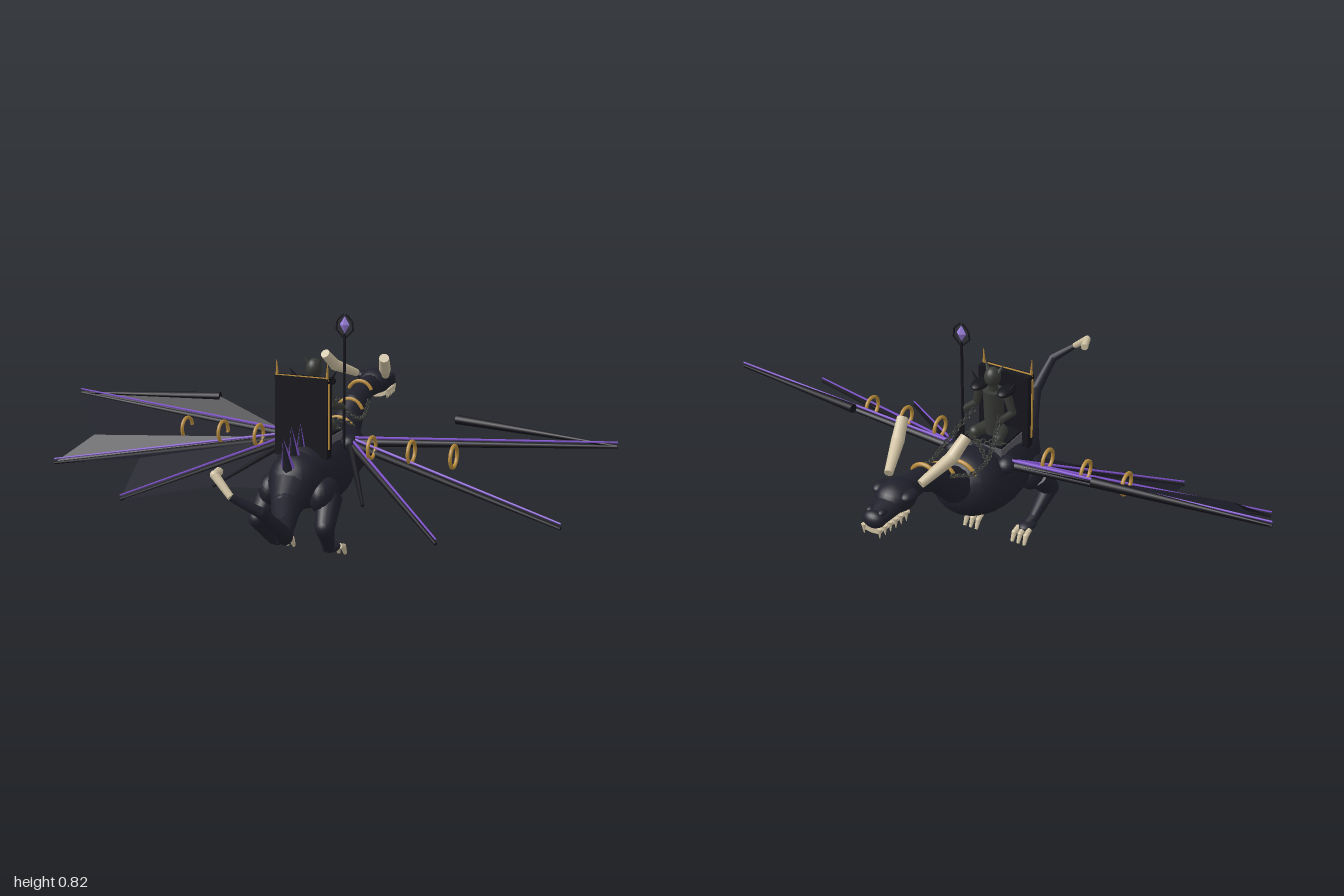
import * as THREE from 'three';

const mat = (name, color, side = THREE.FrontSide) => {
  const m = new THREE.MeshStandardMaterial({ color, side });
  m.name = name;
  return m;
};
const V = (p) => new THREE.Vector3(...p);

export function createModel() {
  const hide = mat('dark hide', 0x20202c);
  const black = mat('black iron', 0x15151c);
  const skin = mat('wing membrane', 0x1c1c27, THREE.DoubleSide);
  const purple = mat('violet glow', 0x8053cc);
  const gem = mat('crystal lavender', 0x9c80dc);
  const bone = mat('bone', 0xcfc1a2);
  const gold = mat('gold', 0xb98c3c);
  const grey = mat('saddle grey', 0x5a5b61);
  const armour = mat('rider armour', 0x383a36);

  const root = new THREE.Group();
  root.name = 'winged mount with rider';
  const add = (name, geo, m, p = [0, 0, 0]) => {
    const mesh = new THREE.Mesh(geo, m);
    mesh.name = name;
    mesh.position.set(...p);
    root.add(mesh);
    return mesh;
  };
  // tapered rod between two points
  const rod = (name, a, b, r0, r1, m, sides = 10) => {
    const d = V(b).sub(V(a));
    const mesh = add(name, new THREE.CylinderGeometry(r1, r0, d.length(), sides), m,
      V(a).add(V(b)).multiplyScalar(0.5).toArray());
    mesh.quaternion.setFromUnitVectors(new THREE.Vector3(0, 1, 0), d.normalize());
    return mesh;
  };
  const ball = (name, p, s, m) => {
    const mesh = add(name, new THREE.SphereGeometry(1, 20, 14), m, p);
    mesh.scale.set(...s);
    return mesh;
  };
  // chain of tapered rods with round joints; each point is [x, y, z, radius]
  const limb = (name, pts, m, sides = 12) => {
    for (let i = 0; i < pts.length - 1; i++) {
      const [a, b] = [pts[i], pts[i + 1]];
      rod(name, a.slice(0, 3), b.slice(0, 3), a[3], b[3], m, sides);
      if (i > 0) ball(name + 'Joint', a.slice(0, 3), [a[3], a[3], a[3]], m);
    }
  };

  // body
  ball('belly', [0, 0.29, -0.05], [0.122, 0.13, 0.22], hide);
  ball('chest', [0, 0.32, -0.185], [0.128, 0.115, 0.115], hide);
  ball('rump', [0, 0.285, 0.09], [0.1, 0.1, 0.11], hide);

  // neck, head and jaw
  limb('neck', [[0, 0.355, -0.275, 0.062], [0, 0.445, -0.385, 0.046],
    [0, 0.485, -0.48, 0.038], [0, 0.49, -0.58, 0.042]], hide);
  ball('skull', [0, 0.497, -0.595], [0.062, 0.048, 0.07], hide);
  const snout = rod('snout', [0, 0.495, -0.59], [0, 0.48, -0.715], 0.055, 0.036, hide, 12);
  snout.scale.z = 0.7;
  ball('snoutTip', [0, 0.48, -0.71], [0.038, 0.028, 0.027], hide);
  const jaw = rod('jaw', [0, 0.45, -0.59], [0, 0.449, -0.725], 0.046, 0.032, bone, 10);
  jaw.scale.z = 0.3;
  for (const s of [-1, 1]) {
    ball('brow', [s * 0.05, 0.515, -0.6], [0.024, 0.017, 0.034], hide);
    ball('nostril', [s * 0.02, 0.5, -0.695], [0.013, 0.01, 0.018], hide);
    for (let i = 0; i < 6; i++) {
      const z = -0.61 - i * 0.023, x = s * (0.043 - i * 0.003);
      rod('tooth', [x, 0.462, z], [x, 0.428, z], 0.008, 0.001, bone, 6);
    }
    limb('horn', [[s * 0.058, 0.53, -0.55, 0.014], [s * 0.098, 0.575, -0.44, 0.021],
      [s * 0.115, 0.625, -0.385, 0.018]], bone);
  }

  // tail with a bone hook
  limb('tail', [[0, 0.27, 0.14, 0.078], [0.025, 0.235, 0.24, 0.05], [0.07, 0.208, 0.35, 0.035],
    [0.11, 0.205, 0.43, 0.028], [0.165, 0.265, 0.56, 0.023], [0.155, 0.355, 0.675, 0.017],
    [0.085, 0.405, 0.722, 0.011]], hide);
  limb('tailHook', [[0.085, 0.405, 0.722, 0.011], [0.022, 0.458, 0.7, 0.014],
    [0.005, 0.452, 0.645, 0.014]], bone, 8);

  // hind legs and claws
  for (const s of [-1, 1]) {
    ball('hip', [s * 0.092, 0.24, 0.085], [0.048, 0.062, 0.072], hide);
    limb('leg', [[s * 0.105, 0.235, 0.08, 0.046], [s * 0.122, 0.15, 0.15, 0.033],
      [s * 0.103, 0.06, 0.075, 0.02], [s * 0.096, 0.045, 0.025, 0.015]], hide);
    ball('foot', [s * 0.097, 0.047, 0.04], [0.03, 0.016, 0.042], hide);
    for (let i = -1; i <= 1; i++) {
      const x = s * 0.097 + i * 0.021;
      limb('claw', [[x, 0.045, 0.015, 0.01], [x + i * 0.002, 0.036, -0.012, 0.01],
        [x + i * 0.003, 0.006, -0.028, 0.006]], bone, 8);
    }
  }

  // wing bones with violet veins, tip struts and gold hoops
  const tips = [[1, 0.453, -0.12], [0.905, 0.268, 0.2], [0.558, 0.207, 0.315], [0.27, 0.255, 0.188]];
  for (const s of [-1, 1]) {
    const shoulder = [s * 0.1, 0.375, -0.11];
    ball('shoulder', shoulder, [0.035, 0.03, 0.04], hide);
    tips.forEach(([x, y, z], i) => {
      rod('wingBone', shoulder, [s * x, y, z], 0.014, 0.005, black, 8);
      if (i < 3) {
        rod('wingVein', [s * 0.1, 0.394, -0.11], [s * x, y + 0.015, z], 0.005, 0.003, purple, 6);
      }
    });
    rod('wingStrut', [s * 0.45, 0.472, -0.2], [s * 1, 0.455, -0.12], 0.016, 0.004, black, 10);
    for (const x of [0.21, 0.35, 0.495]) {
      add('wingHoop', new THREE.TorusGeometry(0.036, 0.0065, 8, 28), gold, [s * x, 0.387, -0.035])
        .rotation.y = Math.PI / 2;
    }
  }

  // the one surviving membrane, fanned from the shoulder
  const rim = [[-0.45, 0.472, -0.2], [-1, 0.453, -0.12], [-0.81, 0.355, 0.085], [-0.905, 0.268, 0.2],
    [-0.6, 0.3, 0.12], [-0.558, 0.207, 0.315], [-0.27, 0.255, 0.188], [-0.08, 0.26, 0.15]];
  const fan = [];
  for (let i = 0; i < rim.length - 1; i++) fan.push(-0.1, 0.375, -0.11, ...rim[i], ...rim[i + 1]);
  const web = new THREE.BufferGeometry();
  web.setAttribute('position', new THREE.Float32BufferAttribute(fan, 3));
  web.computeVertexNormals();
  add('wingMembrane', web, skin);

  // back spikes with violet edges
  [[0.065, 0.47, 0.075], [0.11, 0.475, 0.145], [0.165, 0.448, 0.205]].forEach(([z, y, tz]) => {
    rod('backSpike', [0, 0.33, z], [0, y, tz], 0.022, 0.001, hide, 6);
    for (const s of [-1, 1]) {
      rod('spikeEdge', [s * 0.022, 0.33, z], [0, y, tz], 0.006, 0.001, purple, 6);
    }
  });

  // gold collar arcs over the neck: centre height, z, radius, half angle
  [[0.36, -0.245, 0.068, 1.3], [0.424, -0.348, 0.05, 1.25], [0.475, -0.445, 0.047, 1.2]]
    .forEach(([y, z, r, a]) => {
      add('neckCollar', new THREE.TorusGeometry(r, 0.007, 8, 24, a * 2), gold, [0, y, z])
        .rotation.z = Math.PI / 2 - a;
    });

  // saddle and throne
  add('saddle', new THREE.BoxGeometry(0.15, 0.05, 0.135), grey, [0, 0.393, -0.036]);
  add('saddleBase', new THREE.BoxGeometry(0.17, 0.03, 0.15), black, [0, 0.362, -0.03]);
  add('seat', new THREE.BoxGeometry(0.145, 0.008, 0.13), black, [0, 0.422, -0.034]);
  add('throneBack', new THREE.BoxGeometry(0.19, 0.27, 0.038), black, [0, 0.492, 0.052]);
  add('throneTopTrim', new THREE.BoxGeometry(0.18, 0.003, 0.006), gold, [0, 0.628, 0.06]);
  for (const s of [-1, 1]) {
    add('throneTrim', new THREE.BoxGeometry(0.004, 0.22, 0.009), gold, [s * 0.096, 0.5, 0.06]);
    rod('throneSpike', [s * 0.09, 0.62, 0.062], [s * 0.092, 0.68, 0.062], 0.006, 0.001, gold, 6);
  }

  // armoured rider facing -z
  rod('riderTorso', [0, 0.43, -0.025], [0, 0.59, -0.03], 0.032, 0.036, armour, 10);
  ball('riderHead', [0, 0.64, -0.035], [0.027, 0.034, 0.03], armour);
  rod('riderNeck', [0, 0.58, -0.03], [0, 0.62, -0.033], 0.016, 0.016, armour);
  for (const s of [-1, 1]) {
    rod('helmetHorn', [s * 0.018, 0.655, -0.03], [s * 0.034, 0.685, -0.02], 0.009, 0.001, armour, 6);
    ball('shoulderPlate', [s * 0.05, 0.598, -0.03], [0.026, 0.014, 0.045], black);
    rod('shoulderSpike', [s * 0.06, 0.6, -0.03], [s * 0.085, 0.635, -0.025], 0.008, 0.001, black, 6);
    limb('riderLeg', [[s * 0.025, 0.44, -0.02, 0.024], [s * 0.045, 0.44, -0.075, 0.02],
      [s * 0.055, 0.38, -0.095, 0.015]], armour, 8);
    ball('boot', [s * 0.057, 0.38, -0.105], [0.015, 0.013, 0.025], armour);
    limb('riderArm', [[s * 0.052, 0.585, -0.03, 0.015], [s * 0.07, 0.52, -0.025, 0.013],
      [s > 0 ? 0.092 : -0.055, 0.51, -0.072, 0.011]], armour, 8);
  }

  // staff with a caged crystal
  rod('staff', [0.095, 0.36, -0.07], [0.095, 0.755, -0.07], 0.005, 0.005, black, 8);
  add('crystal', new THREE.OctahedronGeometry(0.02), gem, [0.095, 0.787, -0.07])
    .scale.set(0.9, 1.4, 0.75);
  for (const s of [-1, 1]) {
    const side = (x, y) => [0.095 + s * x, y, -0.07];
    limb('crystalCage', [[...side(0.005, 0.745), 0.003], [...side(0.03, 0.77), 0.003],
      [...side(0.027, 0.8), 0.003], [...side(0.004, 0.822), 0.003]], black, 6);
  }

  // chain reins from the rider to the neck, and harness crossing the saddle
  const link = new THREE.TorusGeometry(0.008, 0.0025, 5, 10);
  const chain = (name, pts) => {
    const curve = new THREE.CatmullRomCurve3(pts.map(V));
    const n = Math.round(curve.getLength() / 0.014);
    for (let i = 0; i <= n; i++) {
      const mesh = add(name, link, armour, curve.getPointAt(i / n).toArray());
      mesh.quaternion.setFromUnitVectors(new THREE.Vector3(1, 0, 0), curve.getTangentAt(i / n));
      mesh.rotateX((i % 2) * Math.PI / 2);
    }
  };
  for (const s of [-1, 1]) {
    chain('rein', [[s * 0.05, 0.52, -0.075], [s * 0.07, 0.48, -0.14], [s * 0.085, 0.44, -0.21],
      [s * 0.078, 0.43, -0.29], [s * 0.06, 0.465, -0.38]]);
    chain('harness', [[s * 0.07, 0.425, -0.19], [0, 0.445, -0.135], [s * -0.07, 0.43, -0.08]]);
  }
  return root;
}
